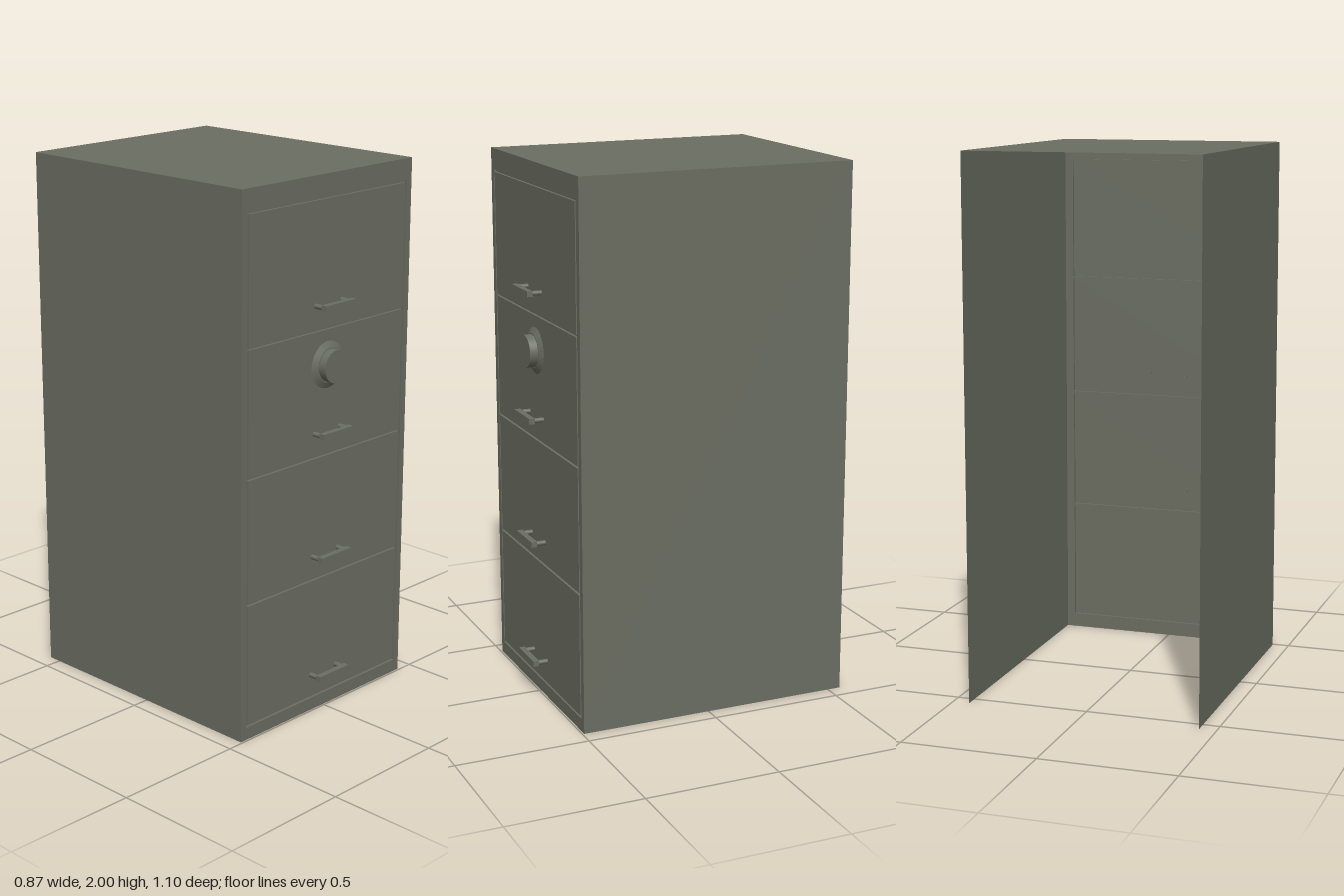
import * as THREE from 'three';

const HALF_W = 0.437, FRONT = 0.493, BACK = -0.55, HEIGHT = 2;
const DEPTH = FRONT - BACK, MID_Z = (FRONT + BACK) / 2;
const GROOVE = 0.009, GROOVE_DEPTH = 0.01;
const OPEN_HALF = 0.411, OPEN_LOW = 0.048, OPEN_HIGH = 1.922;
const DRAWERS = 4, PITCH = (OPEN_HIGH - OPEN_LOW - GROOVE) / DRAWERS;

export function createModel() {
  const paint = new THREE.MeshStandardMaterial({ color: 0x6b6e62, side: THREE.DoubleSide });
  paint.name = 'olive grey paint';
  const cabinet = new THREE.Group();
  cabinet.name = 'filingCabinet';

  const add = (parent, name, geometry, x = 0, y = 0, z = 0) => {
    const mesh = new THREE.Mesh(geometry, paint);
    mesh.name = name;
    mesh.position.set(x, y, z);
    parent.add(mesh);
    return mesh;
  };
  const rect = (path, x0, y0, x1, y1) =>
    path.moveTo(x0, y0).lineTo(x1, y0).lineTo(x1, y1).lineTo(x0, y1).closePath();

  // Four groove walls around a rectangle on the front
  const grooveWalls = (parent, x, y0, y1) => {
    const z = FRONT - GROOVE_DEPTH / 2;
    for (const s of [-1, 1]) {
      add(parent, 'grooveSide', new THREE.PlaneGeometry(GROOVE_DEPTH, y1 - y0).rotateY(s * Math.PI / 2),
        s * x, (y0 + y1) / 2, z);
      add(parent, 'grooveEdge', new THREE.PlaneGeometry(2 * x, GROOVE_DEPTH).rotateX(-s * Math.PI / 2),
        0, s > 0 ? y1 : y0, z);
    }
  };

  // Sheet-metal shell, open at the back and underneath
  for (const s of [-1, 1]) {
    add(cabinet, s > 0 ? 'leftSide' : 'rightSide',
      new THREE.PlaneGeometry(DEPTH, HEIGHT).rotateY(s * Math.PI / 2), s * HALF_W, HEIGHT / 2, MID_Z);
  }
  add(cabinet, 'top', new THREE.PlaneGeometry(2 * HALF_W, DEPTH).rotateX(-Math.PI / 2), 0, HEIGHT, MID_Z);

  // Front frame around the drawers
  const frame = new THREE.Shape();
  rect(frame, -HALF_W, 0, HALF_W, HEIGHT);
  const opening = new THREE.Path();
  rect(opening, -OPEN_HALF, OPEN_LOW, OPEN_HALF, OPEN_HIGH);
  frame.holes.push(opening);
  add(cabinet, 'frontFrame', new THREE.ShapeGeometry(frame), 0, 0, FRONT);
  grooveWalls(cabinet, OPEN_HALF, OPEN_LOW, OPEN_HIGH);

  // Drawers, with the sunk groove floor running between them
  const floor = new THREE.Shape();
  rect(floor, -OPEN_HALF, OPEN_LOW, OPEN_HALF, OPEN_HIGH);
  const faceHalf = OPEN_HALF - GROOVE, faceH = PITCH - GROOVE;
  for (let i = 0; i < DRAWERS; i++) {
    const y0 = OPEN_LOW + GROOVE + i * PITCH, y1 = y0 + faceH;
    const hole = new THREE.Path();
    rect(hole, -faceHalf, y0, faceHalf, y1);
    floor.holes.push(hole);

    const drawer = new THREE.Group();
    drawer.name = `drawer${i + 1}`;
    cabinet.add(drawer);
    add(drawer, 'drawerFace', new THREE.PlaneGeometry(2 * faceHalf, faceH), 0, (y0 + y1) / 2, FRONT);
    grooveWalls(drawer, faceHalf, y0, y1);

    // Bar handle on two round posts
    const handleY = y0 + 0.086;
    add(drawer, 'handleBar', new THREE.BoxGeometry(0.156, 0.021, 0.022), 0, handleY, 0.539);
    for (const s of [-1, 1]) {
      add(drawer, 'handlePost', new THREE.CylinderGeometry(0.009, 0.009, 0.04, 12, 1, true).rotateX(Math.PI / 2),
        s * 0.068, handleY, 0.511);
    }
  }
  add(cabinet, 'grooveFloor', new THREE.ShapeGeometry(floor), 0, 0, FRONT - GROOVE_DEPTH);

  // Combination dial: sloped collar and round knob
  const dial = new THREE.Group();
  dial.name = 'combinationDial';
  dial.position.set(0, 1.318, FRONT);
  cabinet.add(dial);
  add(dial, 'dialCollar', new THREE.CylinderGeometry(0.064, 0.086, 0.012, 32).rotateX(Math.PI / 2), 0, 0, 0.006);
  add(dial, 'dialKnob', new THREE.CylinderGeometry(0.06, 0.06, 0.03, 32).rotateX(Math.PI / 2), 0, 0, 0.027);

  return cabinet;
}
